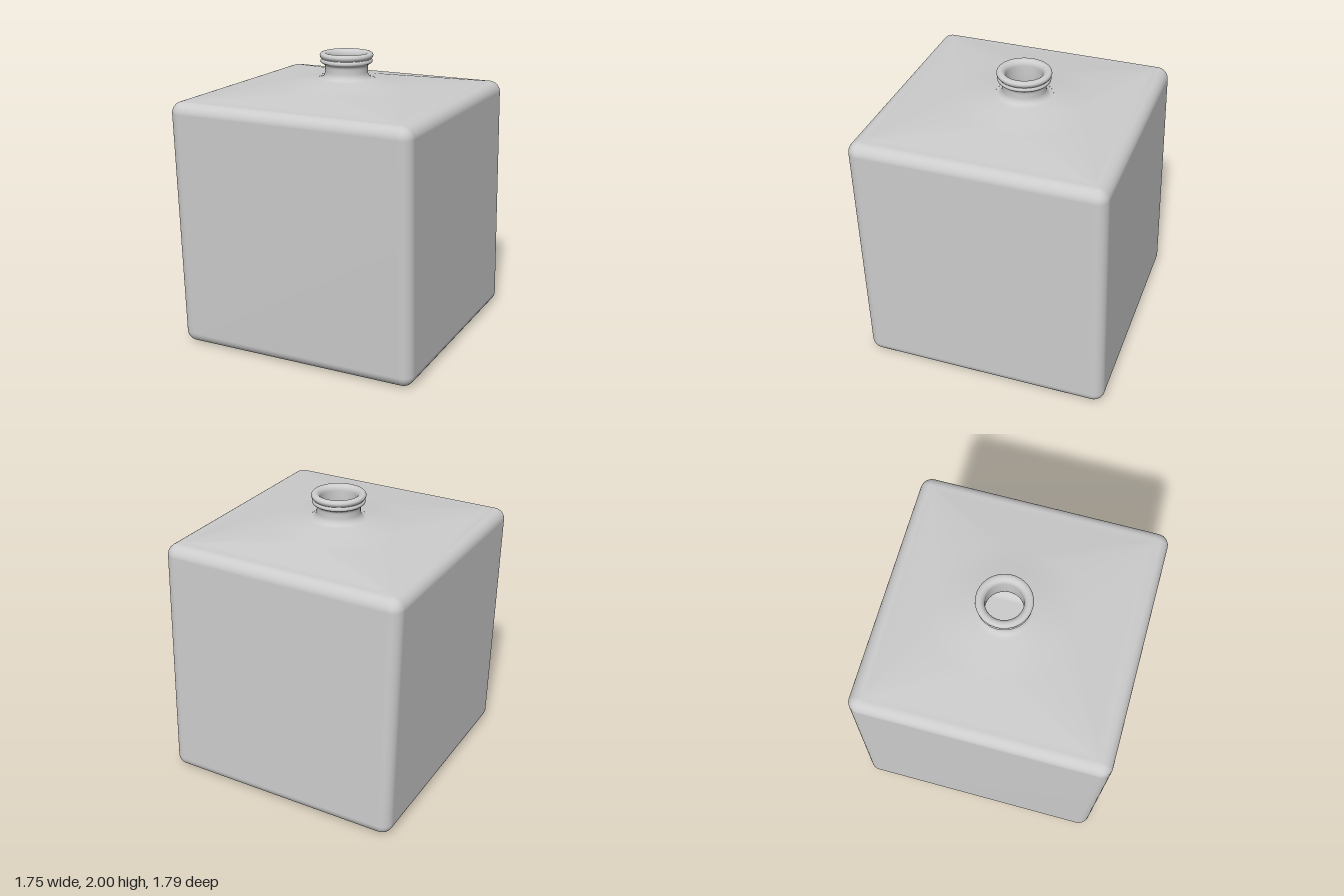
import * as THREE from 'three';
import { mergeVertices } from 'three/addons/utils/BufferGeometryUtils.js';

const STEPS = 16; // segments per rounded corner

// Rounded square outline of half width a and corner radius c
function roundedSquare({ a, c, y, x, z }) {
  const points = [];
  for (let q = 0; q < 4; q++) {
    const mid = (q + 0.5) * Math.PI / 2;
    const cx = Math.sign(Math.cos(mid)) * (a - c);
    const cz = Math.sign(Math.sin(mid)) * (a - c);
    for (let i = 0; i <= STEPS; i++) {
      const t = (q + i / STEPS) * Math.PI / 2;
      points.push(x + cx + c * Math.cos(t), y, z - cz - c * Math.sin(t));
    }
  }
  return points;
}

// Skin over outlines, listed from the bottom up
function loft(sections) {
  const n = 4 * (STEPS + 1), index = [];
  for (let r = 0; r < sections.length - 1; r++) {
    for (let j = 0; j < n; j++) {
      const p = r * n + j, q = r * n + (j + 1) % n;
      index.push(p, q, q + n, p, q + n, p + n);
    }
  }
  const geometry = new THREE.BufferGeometry();
  geometry.setAttribute('position', new THREE.Float32BufferAttribute(sections.flatMap(roundedSquare), 3));
  geometry.setIndex(index);
  const merged = mergeVertices(geometry, 1e-4);
  merged.computeVertexNormals();
  return merged;
}

export function createModel() {
  const group = new THREE.Group();
  const material = new THREE.MeshStandardMaterial({ color: 0xcccccc, side: THREE.DoubleSide });
  const lerp = THREE.MathUtils.lerp;

  // Body: a slightly leaning cube with rounded edges
  const inner = 0.791, fillet = 0.08, top = 1.738;
  const lean = (a, c, y) => ({ a, c, y, x: lerp(0.005, -0.009, y / top), z: lerp(-0.024, 0.026, y / top) });
  const sections = [lean(0, 0, 0), lean(0.4, 0, 0)];
  const edge = (t, y) => {
    const c = fillet * Math.max(Math.cos(t), 0);
    sections.push(lean(inner + c, c, y + fillet * Math.sin(t)));
  };
  for (let i = 0; i <= 8; i++) edge((i / 8 - 1) * Math.PI / 2, fillet);
  for (let i = 0; i <= 8; i++) edge(i / 8 * Math.PI / 2, top - fillet);

  // Shoulder: the square top flows into a round base for the neck
  const neckX = -0.011, neckZ = -0.028, discRadius = 0.41;
  const start = sections[sections.length - 1];
  for (let i = 1; i <= 8; i++) {
    const t = i / 8;
    const a = lerp(inner, discRadius, t);
    sections.push({
      a, c: discRadius * t, y: lerp(top, 1.785, t),
      x: lerp(start.x, neckX, t), z: lerp(start.z, neckZ, t),
    });
  }
  for (const [r, y] of [[0.3, 1.802], [0.2, 1.817]]) {
    sections.push({ a: r, c: r, y, x: neckX, z: neckZ });
  }
  const body = new THREE.Mesh(loft(sections), material);
  body.name = 'body';
  group.add(body);

  // Neck: flared foot, narrow throat, double-beaded lip and open bore
  const profile = new THREE.SplineCurve([
    [0.2, 1.816], [0.172, 1.824], [0.153, 1.848], [0.149, 1.88], [0.151, 1.91],
    [0.166, 1.924], [0.179, 1.932], [0.18, 1.946], [0.174, 1.957], [0.183, 1.969],
    [0.186, 1.983], [0.178, 1.996], [0.16, 2], [0.142, 1.994], [0.128, 1.975],
    [0.125, 1.94], [0.125, 1.86], [0.135, 1.82], [0.18, 1.8],
  ].map(([r, y]) => new THREE.Vector2(r, y)));
  const neck = new THREE.Mesh(new THREE.LatheGeometry(profile.getPoints(72), 64), material);
  neck.name = 'neck';
  neck.position.set(neckX, 0, neckZ);
  group.add(neck);

  return group;
}
